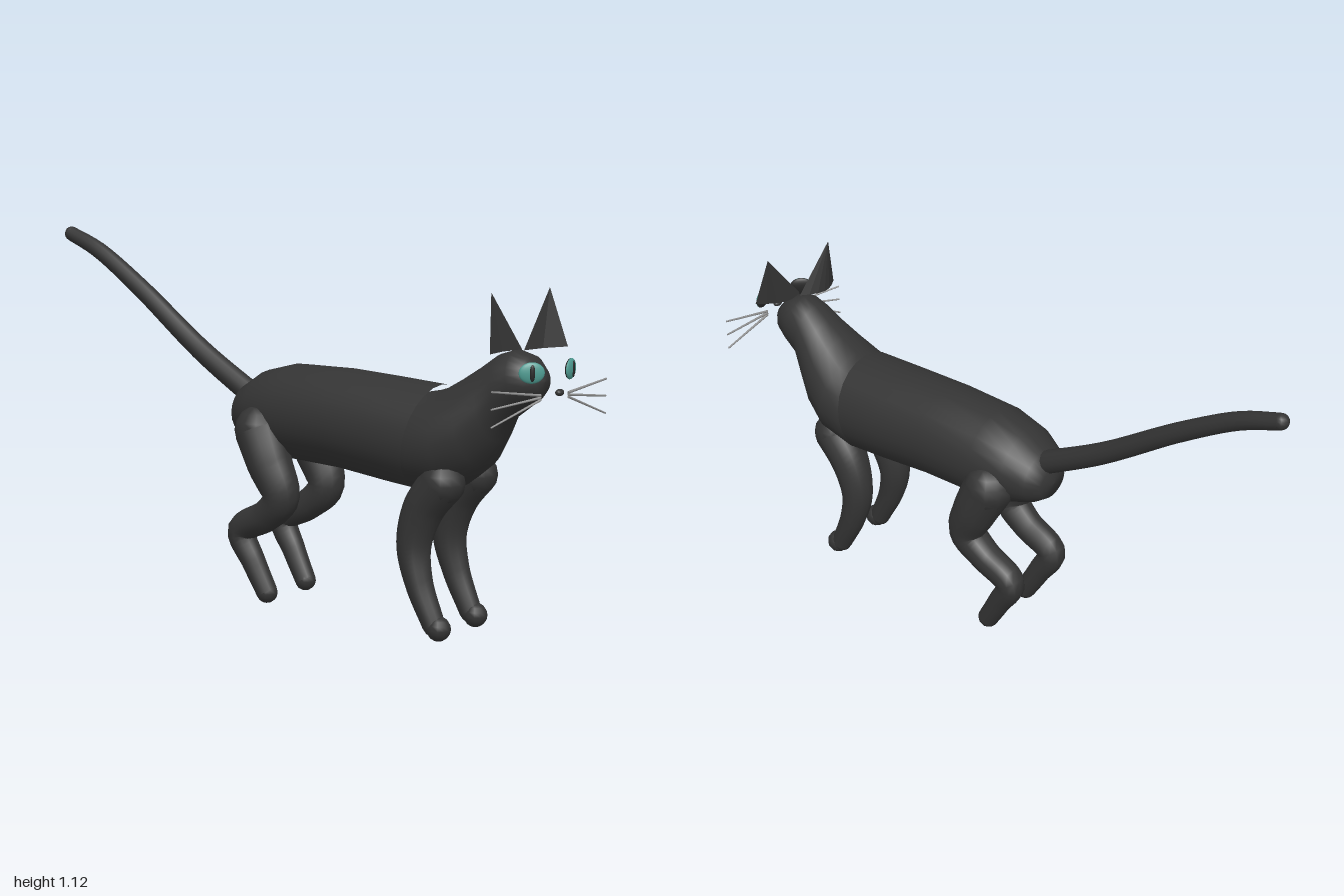
import * as THREE from 'three';

const CX = 0.018; // body centre line

function mat(name, color, side = THREE.FrontSide) {
  const m = new THREE.MeshStandardMaterial({ color, side });
  m.name = name;
  return m;
}

function mesh(name, geometry, material) {
  const m = new THREE.Mesh(geometry, material);
  m.name = name;
  return m;
}

// Skin over oval sections: [topZ, topY, bottomZ, bottomY, halfWidth], rear to front
function loft(sections, sides = 24) {
  const pos = [], index = [];
  sections.forEach(([tz, ty, bz, by, rx], i) => {
    for (let j = 0; j < sides; j++) {
      const a = (j / sides) * Math.PI * 2, c = Math.cos(a) / 2;
      pos.push(CX + rx * Math.sin(a), (ty + by) / 2 + (ty - by) * c, (tz + bz) / 2 + (tz - bz) * c);
      if (i === sections.length - 1) continue;
      const p = i * sides + j, q = i * sides + (j + 1) % sides;
      index.push(p, p + sides, q, q, p + sides, q + sides);
    }
  });
  const g = new THREE.BufferGeometry();
  g.setAttribute('position', new THREE.Float32BufferAttribute(pos, 3));
  g.setIndex(index);
  g.computeVertexNormals();
  return g;
}

// Tapered tube with round ends; points are [x, y, z, radius]
function limb(name, points, material, steps = 28) {
  const group = new THREE.Group();
  group.name = name;
  const curve = new THREE.CatmullRomCurve3(points.map(p => new THREE.Vector3(p[0], p[1], p[2])));
  const radial = 12;
  const g = new THREE.TubeGeometry(curve, steps, 1, radial);
  const v = new THREE.Vector3();
  for (let i = 0; i <= steps; i++) {
    const u = i / steps, centre = curve.getPointAt(u);
    const t = curve.getUtoTmapping(u) * (points.length - 1);
    const k = Math.min(Math.floor(t), points.length - 2);
    const r = THREE.MathUtils.lerp(points[k][3], points[k + 1][3], t - k);
    for (let j = 0; j <= radial; j++) {
      const n = i * (radial + 1) + j;
      v.fromBufferAttribute(g.attributes.position, n).sub(centre).multiplyScalar(r).add(centre);
      g.attributes.position.setXYZ(n, v.x, v.y, v.z);
    }
  }
  group.add(mesh(name + 'Tube', g, material));
  for (const p of [points[0], points[points.length - 1]]) {
    const end = mesh(name + 'End', new THREE.SphereGeometry(p[3], 12, 8), material);
    end.position.set(p[0], p[1], p[2]);
    group.add(end);
  }
  return group;
}

// Pointed ear: straight front edge with a slight dent, rounded back
function earGeometry(a, b, apex, y) {
  const ring = [];
  for (let i = 0; i <= 6; i++) {
    const t = i / 6;
    ring.push([a[0] + (b[0] - a[0]) * t, y, a[1] + (b[1] - a[1]) * t - 0.035 * Math.sin(t * Math.PI)]);
  }
  ring.push([(a[0] + b[0]) / 2, y, (a[1] + b[1]) / 2 - 0.01]);
  const mid = [(a[0] + b[0]) / 2, y, (a[1] + b[1]) / 2 - 0.02];
  const pos = [];
  ring.forEach((p, i) => {
    const q = ring[(i + 1) % ring.length];
    pos.push(...p, ...apex, ...q, ...q, ...mid, ...p);
  });
  const g = new THREE.BufferGeometry();
  g.setAttribute('position', new THREE.Float32BufferAttribute(pos, 3));
  g.computeVertexNormals();
  return g;
}

// Thin rod between two points
function rod(name, from, to, radius, material) {
  const a = new THREE.Vector3(...from), b = new THREE.Vector3(...to);
  const m = mesh(name, new THREE.CylinderGeometry(radius * 0.7, radius, a.distanceTo(b), 6), material);
  m.position.copy(a).add(b).multiplyScalar(0.5);
  m.quaternion.setFromUnitVectors(new THREE.Vector3(0, 1, 0), b.sub(a).normalize());
  return m;
}

export function createModel() {
  const model = new THREE.Group();
  model.name = 'cat';
  const fur = mat('charcoal fur', 0x343434);
  const earFur = mat('ear fur', 0x343434, THREE.DoubleSide);
  const teal = mat('teal eye', 0x4f9c92);
  const dark = mat('dark pupil', 0x262626);
  const grey = mat('grey whisker', 0x909090);

  // Torso, ending in a crisp edge at the shoulders
  model.add(mesh('torso', loft([
    [-0.22, 0.58, -0.22, 0.58, 0],
    [-0.215, 0.635, -0.21, 0.53, 0.06],
    [-0.18, 0.68, -0.18, 0.51, 0.1],
    [-0.11, 0.725, -0.11, 0.485, 0.13],
    [0, 0.755, 0, 0.46, 0.148],
    [0.2, 0.76, 0.2, 0.455, 0.152],
    [0.38, 0.753, 0.38, 0.438, 0.157],
    [0.545, 0.745, 0.49, 0.43, 0.16],
  ]), fur));

  // Chest, neck and head in one sweep
  model.add(mesh('neckAndHead', loft([
    [0.5, 0.72, 0.46, 0.435, 0.15],
    [0.545, 0.73, 0.51, 0.43, 0.16],
    [0.58, 0.742, 0.63, 0.455, 0.158],
    [0.64, 0.778, 0.71, 0.52, 0.135],
    [0.7, 0.818, 0.757, 0.6, 0.108],
    [0.75, 0.855, 0.787, 0.665, 0.09],
    [0.8, 0.872, 0.835, 0.702, 0.084],
    [0.85, 0.86, 0.872, 0.73, 0.067],
    [0.882, 0.83, 0.892, 0.755, 0.042],
    [0.896, 0.79, 0.896, 0.79, 0],
  ]), fur));

  // Legs, mirrored about the centre line
  for (const s of [1, -1]) {
    const side = s > 0 ? 'left' : 'right';
    const at = (o, y, z, r) => [CX + s * o, y, z, r];
    model.add(limb(side + 'FrontLeg', [
      at(0.085, 0.475, 0.61, 0.068), at(0.088, 0.39, 0.548, 0.062), at(0.092, 0.28, 0.518, 0.052),
      at(0.096, 0.17, 0.54, 0.042), at(0.096, 0.05, 0.595, 0.034),
    ], fur));
    const paw = mesh(side + 'FrontPaw', new THREE.SphereGeometry(0.037, 12, 8), fur);
    paw.position.set(CX + s * 0.096, 0.042, 0.612);
    model.add(paw);
    model.add(limb(side + 'BackLeg', [
      at(0.11, 0.555, -0.055, 0.08), at(0.118, 0.46, -0.01, 0.072), at(0.112, 0.355, 0.03, 0.058),
      at(0.107, 0.29, -0.03, 0.05), at(0.105, 0.225, -0.135, 0.046), at(0.1, 0.13, -0.09, 0.038),
      at(0.096, 0.04, -0.04, 0.034),
    ], fur, 36));
  }

  // Tail rising to the rear
  model.add(limb('tail', [
    [CX, 0.63, -0.16, 0.037], [CX, 0.76, -0.39, 0.034], [CX, 0.945, -0.66, 0.03],
    [CX, 1.058, -0.85, 0.027], [CX, 1.105, -0.974, 0.024],
  ], fur));

  // Ears, on a slightly turned head
  model.add(mesh('rightEar', earGeometry([-0.12, 0.8], [0.022, 0.815], [-0.08, 1.04, 0.775], 0.873), earFur));
  model.add(mesh('leftEar', earGeometry([0.008, 0.83], [0.153, 0.885], [0.138, 1.04, 0.83], 0.873), earFur));

  // Eyes: teal front, dark back, upright slit
  for (const [name, x, z, turn] of [['leftEye', 0.053, 0.955, 0.2], ['rightEye', -0.085, 0.915, -0.78]]) {
    const eye = new THREE.Group();
    eye.name = name;
    const iris = mesh(name + 'Iris', new THREE.SphereGeometry(1, 12, 12, 0, Math.PI), teal);
    const back = mesh(name + 'Back', new THREE.SphereGeometry(1, 12, 12, Math.PI, Math.PI), dark);
    for (const part of [iris, back]) part.scale.set(0.037, 0.03, 0.01);
    const pupil = mesh(name + 'Pupil', new THREE.SphereGeometry(1, 10, 8), dark);
    pupil.scale.set(0.008, 0.024, 0.004);
    pupil.position.z = 0.009;
    eye.add(iris, back, pupil);
    eye.position.set(x, 0.828, z);
    eye.rotation.y = turn;
    model.add(eye);
  }

  // Nose
  const nose = mesh('nose', new THREE.SphereGeometry(1, 12, 8), fur);
  nose.scale.set(0.017, 0.01, 0.011);
  nose.position.set(-0.025, 0.772, 0.969);
  model.add(nose);

  // Whiskers, three each side
  [[0.765, 0.787], [0.759, 0.738], [0.753, 0.688]].forEach(([y0, y1], i) => {
    model.add(rod('leftWhisker' + (i + 1), [0.028, y0, 0.965], [0.188, y1, 0.992], 0.004, grey));
    model.add(rod('rightWhisker' + (i + 1), [-0.067, y0, 0.935], [-0.215, y1, 0.87], 0.004, grey));
  });

  return model;
}
